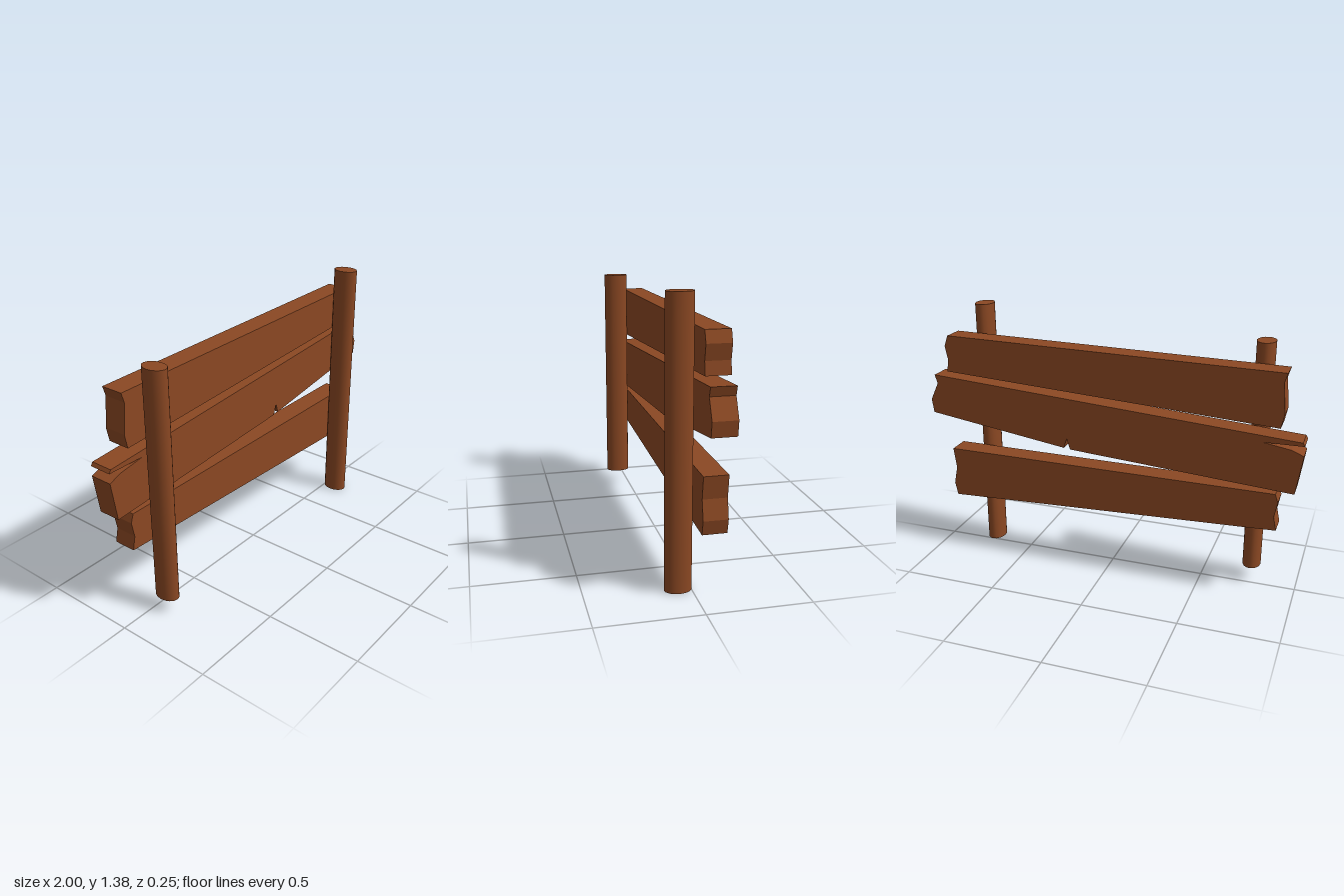
import * as THREE from 'three';

const BACK = -0.127, DEPTH = 0.117;

// Plank: a jagged front outline (x, y pairs, counter-clockwise) given thickness in z
function plank(name, outline, material) {
  const shape = new THREE.Shape(outline.map(([x, y]) => new THREE.Vector2(x, y)));
  const geometry = new THREE.ExtrudeGeometry(shape, { depth: DEPTH, bevelEnabled: false });
  geometry.translate(0, 0, BACK);
  const mesh = new THREE.Mesh(geometry, material);
  mesh.name = name;
  return mesh;
}

// Post: an upright cylinder, deeper than it is wide
function post(name, x, bottom, top, material) {
  const geometry = new THREE.CylinderGeometry(1, 1, top - bottom, 16);
  geometry.scale(0.048, 1, 0.066);
  const mesh = new THREE.Mesh(geometry, material);
  mesh.position.set(x, (top + bottom) / 2, 0.062);
  mesh.name = name;
  return mesh;
}

export function createModel() {
  const group = new THREE.Group();
  group.name = 'brokenFence';
  const wood = new THREE.MeshStandardMaterial({ color: 0x8b4823 });
  wood.name = 'brown wood';

  group.add(
    post('rightPost', -0.76, 0.085, 1.3, wood),
    post('leftPost', 0.743, 0, 1.38, wood),

    plank('topPlank', [
      [-0.88, 0.927], [0.89, 1.037], [0.88, 1.1], [0.895, 1.175], [0.875, 1.232],
      [-0.895, 1.2], [-0.88, 1.15], [-0.895, 1.0],
    ], wood),

    // Middle plank with a split at one end and a notch below
    plank('middlePlank', [
      [-0.97, 0.598], [0.195, 0.68], [0.213, 0.738], [0.23, 0.685], [0.99, 0.797],
      [1.0, 0.87], [0.955, 0.965], [0.97, 1.01], [-0.99, 0.868], [-1.0, 0.85],
      [-0.8, 0.848], [-0.94, 0.825], [-1.0, 0.8],
    ], wood),

    plank('bottomPlank', [
      [-0.895, 0.39], [0.88, 0.32], [0.895, 0.39], [0.875, 0.485], [0.89, 0.595],
      [-0.88, 0.585], [-0.895, 0.54], [-0.88, 0.46],
    ], wood),
  );
  return group;
}
